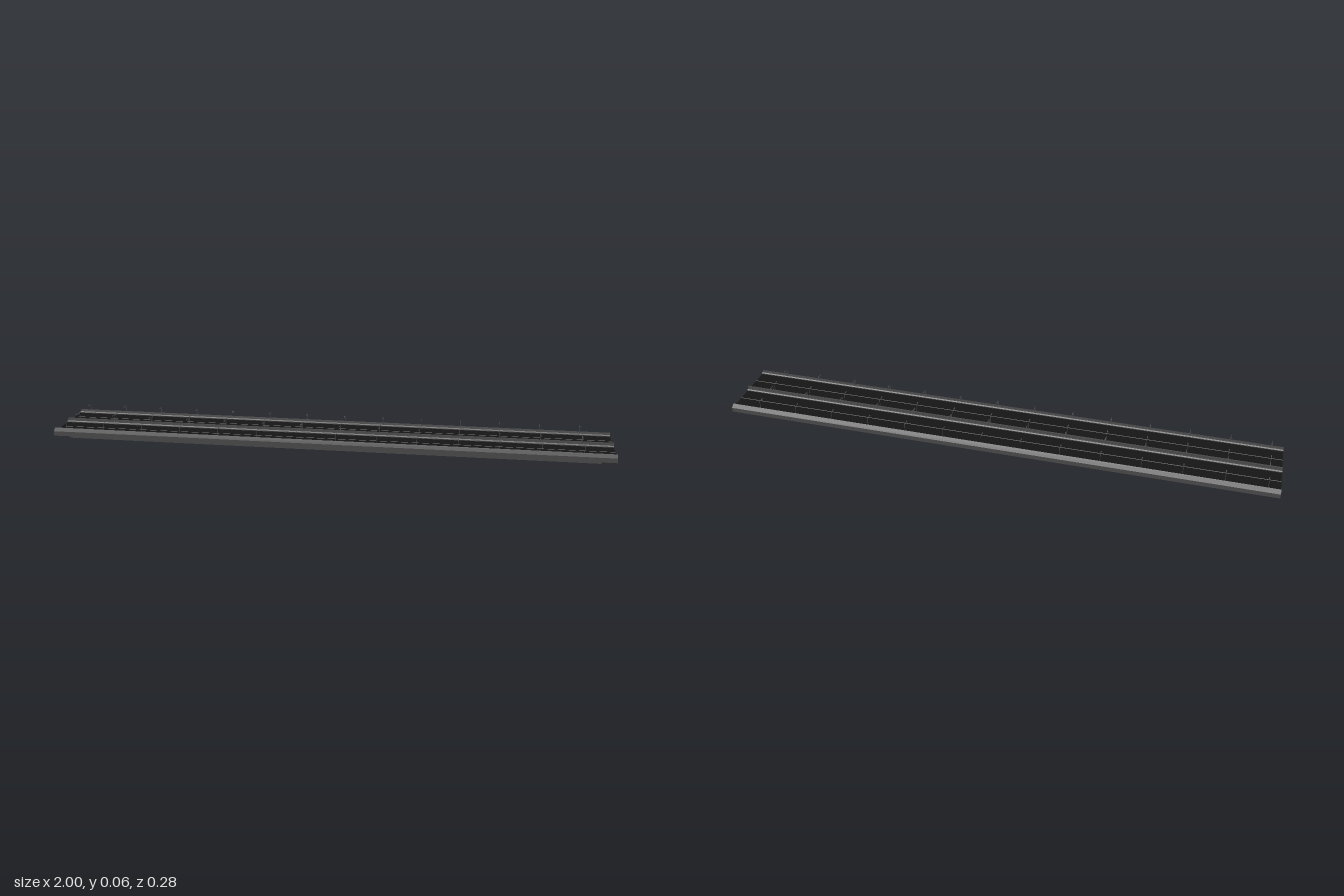
import * as THREE from 'three';

const mat = (color) => new THREE.MeshStandardMaterial({ color });
const concrete = mat(0x4a4a4a);
const asphalt = mat(0x151515);
const paint = mat(0x777777);
const steel = mat(0x555555);

export function createModel() {
  const model = new THREE.Group();

  const add = (name, geometry, material, x = 0, y = 0, z = 0, parent = model) => {
    const mesh = new THREE.Mesh(geometry, material);
    mesh.name = name;
    mesh.position.set(x, y, z);
    parent.add(mesh);
    return mesh;
  };
  const box = (name, material, w, y0, y1, d, x = 0, z = 0) =>
    add(name, new THREE.BoxGeometry(w, y1 - y0, d), material, x, (y0 + y1) / 2, z);

  // Cross-section given as [z, y] points, swept along the full length
  const sweep = (name, points, material) => {
    const shape = new THREE.Shape(points.map(([z, y]) => new THREE.Vector2(-z, y)));
    const geometry = new THREE.ExtrudeGeometry(shape, { depth: 2, bevelEnabled: false });
    geometry.translate(0, 0, -1).rotateY(Math.PI / 2);
    return add(name, geometry, material);
  };

  // Girder below and deck slab
  box('girder', concrete, 1.9, 0, 0.0145, 0.22);
  box('deck', concrete, 2, 0.0145, 0.0275, 0.276);

  for (const s of [1, -1]) {
    // Sloped edge parapet with stepped kerb inside
    sweep('parapet', [
      [s * 0.138, 0.0145], [s * 0.138, 0.031], [s * 0.123, 0.041],
      [s * 0.122, 0.034], [s * 0.117, 0.034], [s * 0.114, 0.031], [s * 0.114, 0.0145],
    ], concrete);

    // Carriageway with painted lines
    box('carriageway', asphalt, 2, 0.027, 0.0282, 0.102, 0, s * 0.063);
    box('laneLine', paint, 2, 0.028, 0.0285, 0.003, 0, s * 0.0625);
  }

  // Central kerb and barrier
  sweep('medianBarrier', [
    [-0.012, 0.0275], [-0.012, 0.031], [-0.009, 0.034], [-0.003, 0.034], [-0.0025, 0.042],
    [0.0025, 0.042], [0.003, 0.034], [0.009, 0.034], [0.012, 0.031], [0.012, 0.0275],
  ], concrete);

  // Street lamps: bent pole, foot and flat lamp head, arm pointing to +z
  const bend = new THREE.CurvePath();
  const v = (y, z) => new THREE.Vector3(0, y, z);
  bend.add(new THREE.LineCurve3(v(0.03, 0), v(0.061, 0)));
  bend.add(new THREE.QuadraticBezierCurve3(v(0.061, 0), v(0.064, 0), v(0.064, 0.003)));
  bend.add(new THREE.LineCurve3(v(0.064, 0.003), v(0.064, 0.015)));
  const poleGeometry = new THREE.TubeGeometry(bend, 24, 0.0008, 6);
  const headGeometry = new THREE.BoxGeometry(0.003, 0.0016, 0.009);
  const footGeometry = new THREE.CylinderGeometry(0.0014, 0.002, 0.004, 8);

  const rows = [[0.118, -1], [0.007, 1], [-0.007, -1], [-0.118, 1]];
  for (const [z, dir] of rows) {
    for (let i = 0; i < 14; i++) {
      const lamp = new THREE.Group();
      lamp.name = 'streetLamp';
      add('lampPole', poleGeometry, steel, 0, 0, 0, lamp);
      add('lampHead', headGeometry, steel, 0, 0.064, 0.0185, lamp);
      add('lampFoot', footGeometry, steel, 0, 0.035, 0, lamp);
      lamp.position.set(-0.957 + i * 0.1422, 0, z);
      if (dir < 0) lamp.rotation.y = Math.PI;
      model.add(lamp);
    }
  }
  return model;
}
